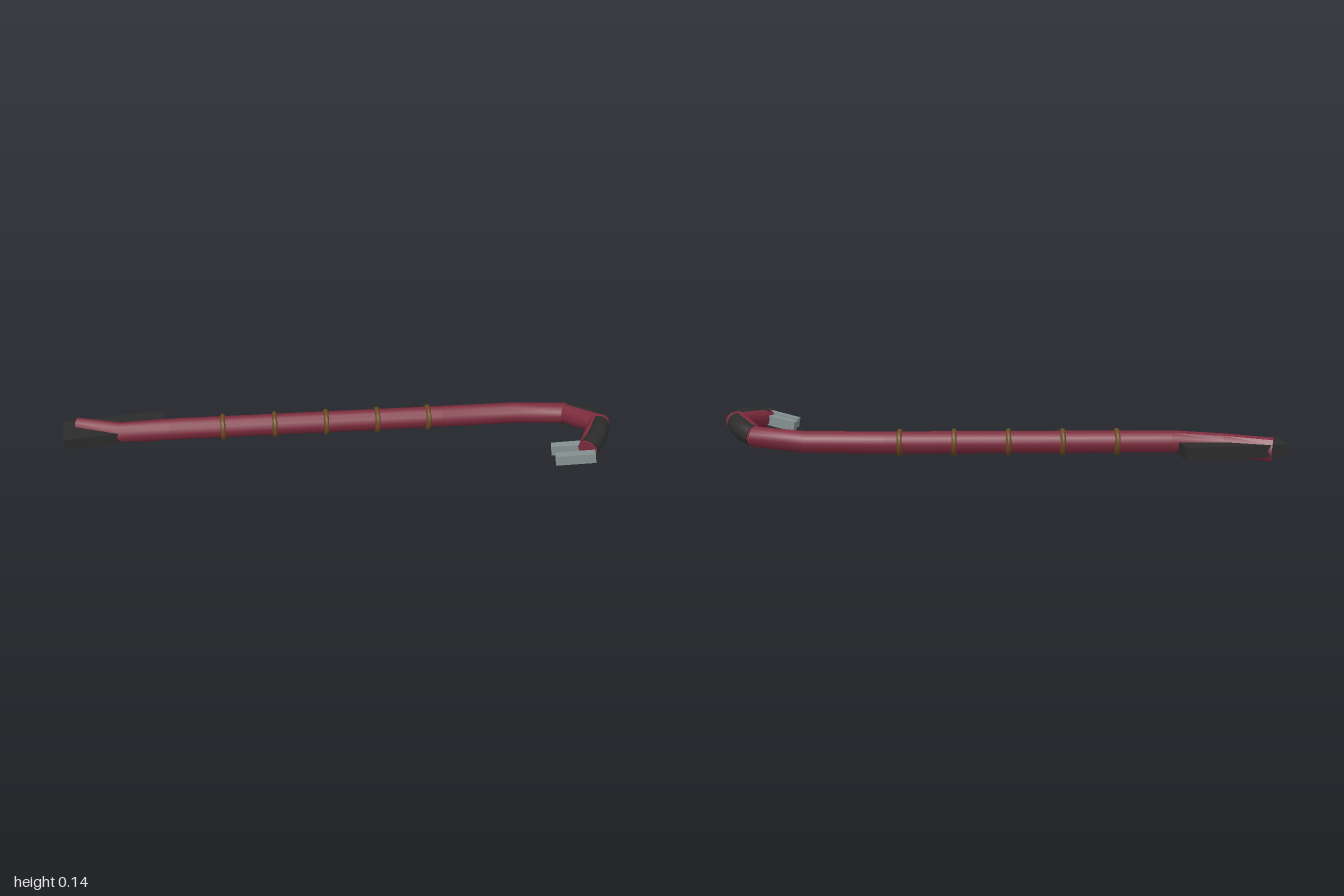
import * as THREE from 'three';
import { toCreasedNormals } from 'three/addons/utils/BufferGeometryUtils.js';

const mat = (name, color) => {
  const m = new THREE.MeshStandardMaterial({ color });
  m.name = name;
  return m;
};
const V = (x, y, z) => new THREE.Vector3(x, y, z);

// Mitred, capped tube through points; sizes are [half width, half height] per point
function sweep(points, sizes, sides = 12) {
  const pos = [], index = [];
  const n = points.length;
  points.forEach((p, i) => {
    const a = points[Math.max(i - 1, 0)], b = points[Math.min(i + 1, n - 1)];
    const din = (i > 0 ? p.clone().sub(a) : b.clone().sub(p)).normalize();
    const dout = (i < n - 1 ? b.clone().sub(p) : din.clone()).normalize();
    const t = din.clone().add(dout).normalize();
    const side = V(0, 1, 0).cross(t).normalize();
    const up = t.clone().cross(side);
    const miter = 1 / t.dot(din);
    for (let j = 0; j < sides; j++) {
      const q = (j / sides) * Math.PI * 2;
      const v = p.clone()
        .addScaledVector(side, Math.cos(q) * sizes[i][0] * miter)
        .addScaledVector(up, Math.sin(q) * sizes[i][1]);
      pos.push(v.x, v.y, v.z);
    }
  });
  for (let i = 0; i < n - 1; i++) {
    for (let j = 0; j < sides; j++) {
      const k = (j + 1) % sides;
      const a = i * sides + j, b = i * sides + k;
      index.push(a, b, b + sides, a, b + sides, a + sides);
    }
  }
  // End caps
  const last = (n - 1) * sides;
  for (let j = 1; j < sides - 1; j++) {
    index.push(0, j + 1, j, last, last + j, last + j + 1);
  }
  const g = new THREE.BufferGeometry();
  g.setAttribute('position', new THREE.Float32BufferAttribute(pos, 3));
  g.setIndex(index);
  return toCreasedNormals(g, 0.58);
}

export function createModel() {
  const group = new THREE.Group();
  const red = mat('red paint', 0x7c2b3c);
  const black = mat('black grip', 0x2b2b2b);
  const steel = mat('bare steel', 0x83908f);
  const brown = mat('brown binding', 0x6b4a22);

  const add = (name, geometry, material, position) => {
    const m = new THREE.Mesh(geometry, material);
    m.name = name;
    if (position) m.position.copy(position);
    group.add(m);
    return m;
  };

  // Bar with its hooked end
  const cornerA = V(0.86, 0.079, -0.088);
  const cornerB = V(0.95, 0.107, 0.035);
  const cornerC = V(0.87, 0.094, 0.178);
  add('bar', sweep(
    [V(-0.945, 0.048, -0.183), V(-0.785, 0.055, -0.13), V(-0.6, 0.065, -0.123),
      V(0.4, 0.065, -0.124), V(0.68, 0.068, -0.122), cornerA, cornerB, cornerC],
    [[0.03, 0.043], [0.034, 0.04], [0.037, 0.04], [0.037, 0.04], [0.037, 0.039],
      [0.034, 0.038], [0.035, 0.039], [0.035, 0.036]]), red);

  // Curved grips bulging over the outside of the hook
  const grip = (name, from, to, out) => {
    const points = [], sizes = [];
    for (let i = 0; i <= 8; i++) {
      const s = 0.06 + (i / 8) * 0.88;
      points.push(from.clone().lerp(to, s).addScaledVector(out, Math.sin(s * Math.PI)));
      sizes.push([0.036, 0.038]);
    }
    add(name, sweep(points, sizes, 16), black);
  };
  grip('innerHookGrip', cornerA, cornerB, V(0.012, 0.002, -0.008));
  grip('outerHookGrip', cornerB, cornerC, V(0.011, 0.008, 0.006));

  // Binding rings
  for (let i = 0; i < 5; i++) {
    const ring = add('bindingRing', new THREE.TorusGeometry(0.04, 0.009, 8, 24), brown,
      V(-0.41 + i * 0.19, 0.065, -0.123));
    ring.rotation.y = Math.PI / 2;
  }

  // Flat blade at the far end
  const blade = add('blade', new THREE.BoxGeometry(0.371, 0.044, 0.123), black,
    V(-0.81, 0.048, -0.159));
  blade.rotation.y = 0.115;

  // Two claw prongs
  for (const z of [0.143, 0.204]) {
    const prong = add('clawProng', new THREE.BoxGeometry(0.138, 0.037, 0.029), steel,
      V(0.823, 0.083, z));
    prong.rotation.set(0, -0.24, 0.2);
  }
  return group;
}
